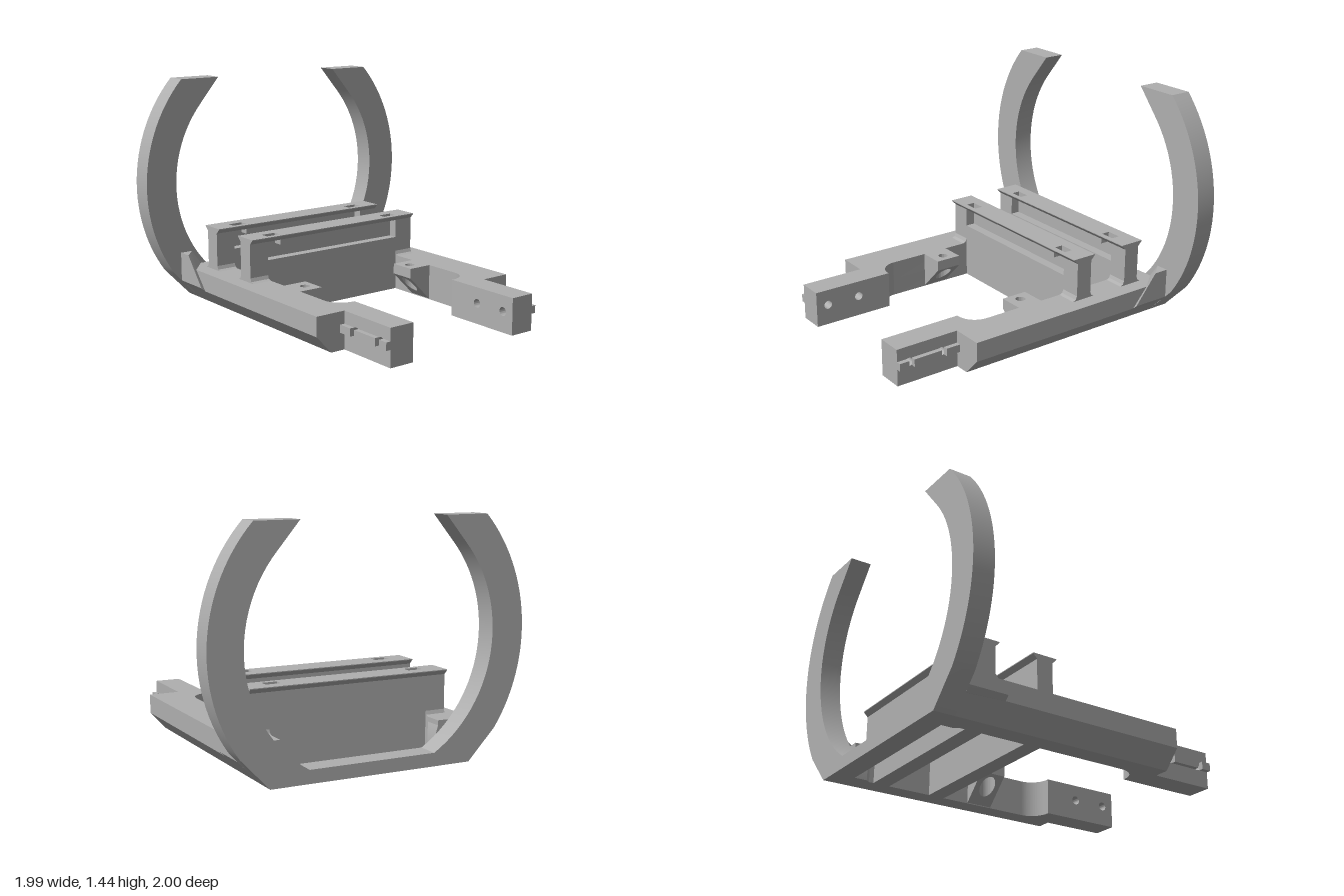
import * as THREE from 'three';
import { toCreasedNormals } from 'three/addons/utils/BufferGeometryUtils.js';
import { ConvexGeometry } from 'three/addons/geometries/ConvexGeometry.js';

const grey = new THREE.MeshStandardMaterial({ color: 0xb0b0b0 });
grey.name = 'plain grey';

const poly = (pts) => new THREE.Shape(pts.map(([a, b]) => new THREE.Vector2(a, b)));

const circleHole = (x, y, r) => new THREE.Path().absarc(x, y, r, 0, Math.PI * 2, true);

const extrude = (shape, depth) =>
  new THREE.ExtrudeGeometry(shape, { depth, bevelEnabled: false, curveSegments: 32 });

// xy profile swept from z0 to z1
const alongZ = (shape, z0, z1) => extrude(shape, z1 - z0).translate(0, 0, z0);

// plan outline (x, distance to the right of centre) raised from y0 to y1
const alongY = (shape, y0, y1) => extrude(shape, y1 - y0).rotateX(-Math.PI / 2).translate(0, y0, 0);

const box = (x0, x1, y0, y1, z0, z1) =>
  new THREE.BoxGeometry(x1 - x0, y1 - y0, z1 - z0)
    .translate((x0 + x1) / 2, (y0 + y1) / 2, (z0 + z1) / 2);

const hull = (pts) => new ConvexGeometry(pts.map((p) => new THREE.Vector3(...p)));

// move the underside (y near y0) of a geometry by a rule
function bendBottom(geo, y0, rule) {
  const p = geo.attributes.position;
  const v = new THREE.Vector3();
  for (let i = 0; i < p.count; i++) {
    v.fromBufferAttribute(p, i);
    if (Math.abs(v.y - y0) < 1e-4) {
      rule(v);
      p.setXYZ(i, v.x, v.y, v.z);
    }
  }
  return geo;
}

// mirror across z = 0 and restore the corner order
function mirrorZ(geo) {
  const g = geo.index ? geo.toNonIndexed() : geo.clone();
  g.scale(1, 1, -1);
  const p = g.attributes.position;
  const a = new THREE.Vector3(), b = new THREE.Vector3();
  for (let i = 0; i < p.count; i += 3) {
    a.fromBufferAttribute(p, i + 1);
    b.fromBufferAttribute(p, i + 2);
    p.setXYZ(i + 1, b.x, b.y, b.z);
    p.setXYZ(i + 2, a.x, a.y, a.z);
  }
  return g;
}

function add(group, name, geo) {
  const mesh = new THREE.Mesh(toCreasedNormals(geo, 0.5), grey);
  mesh.name = name;
  group.add(mesh);
}

// open hoop with flat foot and 45 degree lower corners
function hoopGeometry() {
  const cy = 0.76, R = 1, r = 0.79;
  const top = Math.asin(0.68 / R), low = Math.asin(-0.575 / R);
  const inTop = Math.asin(0.52 / r), inLow = Math.asin(-0.68 / r);
  const half = [[0.64, 0]];
  const N = 28;
  for (let i = 0; i <= N; i++) {
    const t = low + ((top - low) * i) / N;
    half.push([R * Math.cos(t), cy + R * Math.sin(t)]);
  }
  half.push([0.46, 1.44]);
  for (let i = 0; i <= N; i++) {
    const t = inTop + ((inLow - inTop) * i) / N;
    half.push([r * Math.cos(t), cy + r * Math.sin(t)]);
  }
  const other = half.map(([z, y]) => [-z, y]).reverse();
  return extrude(poly([...half, ...other]), 0.135).rotateY(Math.PI / 2).translate(-1, 0, 0);
}

// parts of the right-hand side, mirrored for the left
function sideParts() {
  const parts = [];

  // side rail with a curved inner shoulder and chamfered lower outer edge
  const plan = new THREE.Shape();
  plan.moveTo(-0.865, 0.515);
  plan.lineTo(0.345, 0.515);
  plan.absarc(0.345, 0.395, 0.12, Math.PI / 2, 0, true);
  plan.lineTo(0.465, 0.385);
  plan.lineTo(0.58, 0.385);
  plan.lineTo(0.58, 0.742);
  plan.lineTo(-0.865, 0.742);
  parts.push(['railUpper', alongY(plan, 0.11, 0.23)]);
  parts.push(['railLower', bendBottom(alongY(plan, 0, 0.11), 0, (v) => {
    if (v.z < -0.7) v.z = -0.64;
  })]);

  // drilled end block and its split rib
  const end = poly([[0.58, 0], [0.99, 0], [0.99, 0.23], [0.58, 0.23]]);
  for (const x of [0.69, 0.91]) end.holes.push(circleHole(x, 0.13, 0.027));
  parts.push(['endBlock', alongZ(end, -0.547, -0.385)]);
  for (const [a, b] of [[0.58, 0.672], [0.708, 0.892], [0.928, 0.99]]) {
    parts.push(['endRib', box(a, b, 0.105, 0.153, -0.577, -0.547)]);
  }

  // bolt lug, sloped below, with a counterbored hole
  const lug = (r) => {
    const s = poly([[-0.065, 0.355], [0.105, 0.355], [0.105, 0.515], [-0.065, 0.515]]);
    s.holes.push(circleHole(0.02, 0.42, r));
    return s;
  };
  parts.push(['lugTop', alongY(lug(0.03), 0.185, 0.23)]);
  parts.push(['lugBase', bendBottom(alongY(lug(0.05), 0, 0.185), 0, (v) => {
    v.y = 0.165 - (-v.z - 0.355);
  })]);

  // outer gusset between hoop and rail
  parts.push(['outerGusset', hull([
    [-0.865, 0.32, -0.77], [-0.77, 0.32, -0.77], [-0.865, 0.32, -0.69],
    [-0.62, 0.135, -0.77], [-0.865, 0.135, -0.77], [-0.865, 0.135, -0.56],
    [-0.865, 0.1, -0.738], [-0.62, 0.11, -0.742],
  ])]);

  // small inner gusset
  parts.push(['innerGusset', hull([
    [-0.865, 0.2, -0.515], [-0.865, 0.13, -0.495], [-0.865, 0, -0.495], [-0.865, 0, -0.515],
    [-0.785, 0.13, -0.495], [-0.785, 0, -0.495], [-0.76, 0.2, -0.515], [-0.76, 0, -0.515],
  ])]);
  return parts;
}

// cross beam: flared top, recess in its front half, two strap holes
function crossBeam(name, x) {
  const g = new THREE.Group();
  g.name = name;
  const w = 0.053, f = 0.08, m = -0.008;
  const back = poly([[m, 0.23], [m, 0.505], [-f, 0.505], [-f, 0.5], [-w, 0.472], [-w, 0.23]]);
  const front = (y) => poly([[m, y], [w, y], [w, 0.472], [f, 0.5], [f, 0.505], [m, 0.505]]);
  const lip = poly([[0.047, 0.47], [w, 0.472], [f, 0.5], [f, 0.505], [0.047, 0.505]]);
  add(g, 'beamBack', alongZ(back, -0.645, 0.645));
  add(g, 'beamTop', alongZ(front(0.44), -0.42, 0.42));
  add(g, 'recessFloor', box(m, w, 0.23, 0.355, -0.515, 0.515));
  add(g, 'lowerPanel', box(-w, w, 0, 0.23, -0.515, 0.515));
  for (const s of [-1, 1]) {
    const span = (a, b) => (s > 0 ? [a, b] : [-b, -a]);
    add(g, 'post', alongZ(front(0.23), ...span(0.515, 0.645)));
    add(g, 'holeLip', alongZ(lip, ...span(0.42, 0.515)));
    // curved feet on the rail
    const foot = poly([[-0.082, 0.23], [0.082, 0.23], [0.062, 0.238], [w, 0.26], [-w, 0.26], [-0.062, 0.238]]);
    add(g, 'foot', alongZ(foot, ...span(0.515, 0.645)));
  }
  g.position.x = x;
  return g;
}

export function createModel() {
  const model = new THREE.Group();
  model.name = 'hoopFrame';
  add(model, 'hoop', hoopGeometry());

  const right = new THREE.Group(), left = new THREE.Group();
  right.name = 'backSide';
  left.name = 'frontSide';
  for (const [name, geo] of sideParts()) {
    add(right, name, geo);
    add(left, name, mirrorZ(geo));
  }
  model.add(right, left);
  model.add(crossBeam('rearBeam', -0.677), crossBeam('middleBeam', -0.292));
  return model;
}
